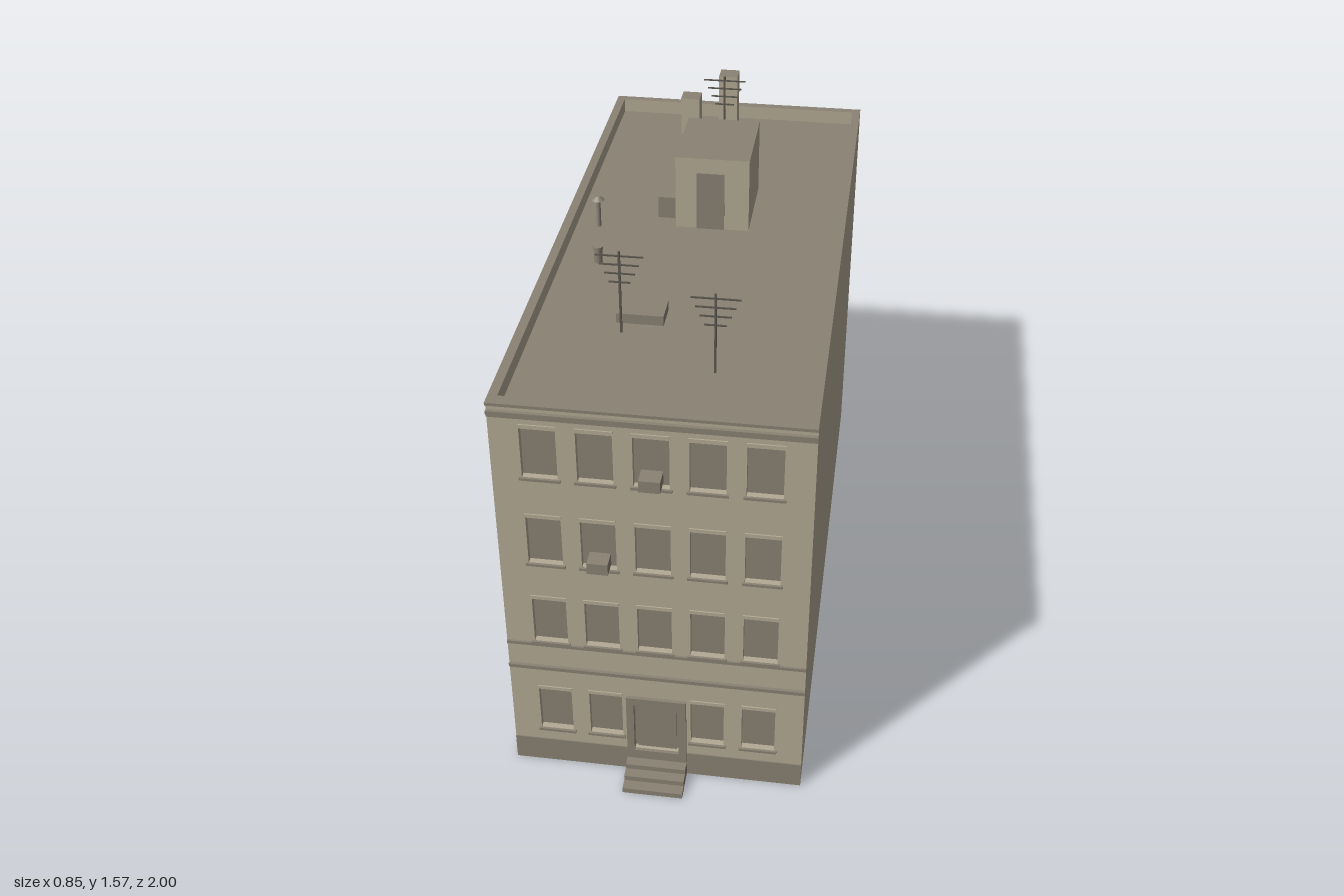
import * as THREE from 'three';

const mat = (name, color) => {
  const m = new THREE.MeshStandardMaterial({ color, side: THREE.DoubleSide });
  m.name = name;
  return m;
};

export function createModel() {
  const root = new THREE.Group();
  root.name = 'townBuilding';
  const wall = mat('wallStone', 0xb3aa94);
  const trim = mat('greyTrim', 0x8a8274);
  const metal = mat('antennaMetal', 0x5c5750);

  const W = 0.425, FRONT = 0.9, BACK = -0.99, ROOF = 1.255, TOP = 1.3;
  const DEPTH = FRONT - BACK, MID = (FRONT + BACK) / 2;

  const add = (name, geo, material, x = 0, y = 0, z = 0, parent = root) => {
    const m = new THREE.Mesh(geo, material);
    m.name = name;
    m.position.set(x, y, z);
    parent.add(m);
    return m;
  };
  // Box given by its limits on each axis
  const block = (name, material, x0, x1, y0, y1, z0, z1, parent) =>
    add(name, new THREE.BoxGeometry(x1 - x0, y1 - y0, z1 - z0), material,
      (x0 + x1) / 2, (y0 + y1) / 2, (z0 + z1) / 2, parent);
  const trace = (path, x0, x1, y0, y1) =>
    path.moveTo(x0, y0).lineTo(x1, y0).lineTo(x1, y1).lineTo(x0, y1).closePath();
  // Stone-sided box with a grey top
  const roofBlock = (name, ...b) => block(name, [wall, wall, trim, wall, wall, wall], ...b);

  // Openings in the front wall: [x, bottom, width, height, depth]
  const rows = [0.13, 0.478, 0.768, 1.062];
  const openings = [];
  rows.forEach((y, r) => {
    for (let c = -2; c <= 2; c++) {
      if (r === 0 && c === 0) continue;
      openings.push([c * 0.148, y, 0.096, 0.158, 0.02]);
    }
  });
  const door = [0, 0.085, 0.13, 0.185, 0.015];

  // Outer walls, open underneath
  const face = new THREE.Shape();
  trace(face, -W, W, 0, ROOF);
  for (const [x, y, w, h] of [...openings, door]) {
    const hole = new THREE.Path();
    trace(hole, x - w / 2, x + w / 2, y, y + h);
    face.holes.push(hole);
  }
  add('frontWall', new THREE.ShapeGeometry(face), wall, 0, 0, FRONT);
  add('backWall', new THREE.PlaneGeometry(2 * W, ROOF), wall, 0, ROOF / 2, BACK).rotation.y = Math.PI;
  for (const s of [-1, 1]) {
    add(s > 0 ? 'leftWall' : 'rightWall', new THREE.PlaneGeometry(DEPTH, ROOF), wall,
      s * W, ROOF / 2, MID).rotation.y = s * Math.PI / 2;
  }

  // Roof deck and parapet
  add('roofDeck', new THREE.PlaneGeometry(2 * W, DEPTH), trim, 0, ROOF, MID).rotation.x = -Math.PI / 2;
  const ring = new THREE.Shape(), inner = new THREE.Path(), t = 0.026;
  trace(ring, -W, W, -DEPTH / 2, DEPTH / 2);
  trace(inner, -W + t, W - t, -DEPTH / 2 + t, DEPTH / 2 - t);
  ring.holes.push(inner);
  add('parapet', new THREE.ExtrudeGeometry(ring, { depth: TOP - ROOF, bevelEnabled: false }),
    [trim, wall], 0, ROOF, MID).rotation.x = -Math.PI / 2;

  // Recess: a box without its front face, with a grey pane at the back
  const niche = (name, [x, y, w, h, d]) => {
    const g = new THREE.BoxGeometry(w, h, d);
    const idx = Array.from(g.index.array);
    g.setIndex([...idx.slice(0, 24), ...idx.slice(30)]);
    g.clearGroups();
    g.addGroup(0, 24, 0);
    g.addGroup(24, 6, 1);
    add(name, g, [wall, trim], x, y + h / 2, FRONT - d / 2);
  };
  for (const o of openings) {
    const [x, y, , h] = o;
    niche('frontWindow', o);
    block('frontSill', trim, x - 0.055, x + 0.055, y - 0.006, y + 0.002, FRONT, FRONT + 0.007);
    block('frontLintel', wall, x - 0.05, x + 0.05, y + h + 0.01, y + h + 0.015, FRONT, FRONT + 0.004);
  }

  // Back windows
  for (const y of [0.08, 0.48, 0.77, 1.062]) {
    for (const x of [-0.285, -0.095, 0.095, 0.285]) {
      block('backWindow', trim, x - 0.04, x + 0.04, y, y + 0.155, BACK - 0.002, BACK);
      block('backSill', trim, x - 0.047, x + 0.047, y - 0.006, y + 0.002, BACK - 0.01, BACK);
    }
  }

  // Plinth and horizontal bands on the front, split around the doorway
  for (const [a, b] of [[-W, -0.087], [0.087, W]]) block('plinth', trim, a, b, 0, 0.085, FRONT, FRONT + 0.003);
  block('plinthCentre', trim, -0.087, 0.087, 0, 0.085, FRONT, FRONT + 0.003);
  const bands = [[0.37, 0.376, 0.005], [0.376, 0.386, 0.009], [0.464, 0.474, 0.006],
    [1.254, 1.262, 0.006], [1.262, 1.274, 0.01], [1.291, 1.3, 0.01]];
  for (const [a, b, d] of bands) block('facadeBand', trim, -W, W, a, b, FRONT, FRONT + d);

  // Doorway with surround, panelled door and steps
  niche('doorRecess', door);
  const surround = new THREE.Shape(), gap = new THREE.Path();
  trace(surround, -0.087, 0.087, 0.052, 0.296);
  trace(gap, -0.065, 0.065, 0.085, 0.27);
  surround.holes.push(gap);
  add('doorSurround', new THREE.ExtrudeGeometry(surround, { depth: 0.01, bevelEnabled: false }), trim, 0, 0, FRONT);
  block('doorPanel', trim, -0.057, 0.057, 0.085, 0.264, FRONT - 0.015, FRONT - 0.01);
  [[0.017, 1.0], [0.034, 0.968], [0.051, 0.938]].forEach(([y, z], i) =>
    block('doorStep', trim, -0.088, 0.088, i * 0.017, y, FRONT, z));

  // Window cooling units
  block('coolingUnit', trim, -0.03, 0.028, 1.07, 1.106, FRONT - 0.02, 0.93);
  block('coolingUnit', trim, -0.177, -0.119, 0.774, 0.81, FRONT - 0.02, 0.93);

  // Stair house, its door and the roof boxes
  roofBlock('stairHouse', -0.095, 0.13, ROOF, 1.49, -0.437, -0.155);
  block('stairHouseDoor', trim, -0.03, 0.055, ROOF, 1.442, -0.155, -0.152);
  block('utilityBox', trim, -0.157, -0.095, ROOF, 1.325, -0.292, -0.207);
  block('roofHatch', trim, -0.176, -0.042, ROOF, 1.285, 0.33, 0.418);
  roofBlock('shortChimney', -0.175, -0.112, ROOF, 1.386, -0.866, -0.808);
  roofBlock('tallChimney', -0.047, 0.015, ROOF, 1.47, -0.874, -0.815);

  // Vent pipes
  const pipe = (name, x, z, r, y0, y1) =>
    add(name, new THREE.CylinderGeometry(r, r, y1 - y0, 12), trim, x, (y0 + y1) / 2, z);
  pipe('ventPipe', -0.33, -0.128, 0.007, ROOF, 1.345);
  add('ventCap', new THREE.CylinderGeometry(0.006, 0.02, 0.012, 12), trim, -0.33, 1.35, -0.128);
  pipe('ventStub', -0.29, 0.09, 0.013, ROOF, 1.3);
  pipe('ventStubCap', -0.29, 0.09, 0.016, 1.3, 1.308);

  // Antennas: a mast with crossbars narrowing downwards
  for (const [x, z, top] of [[-0.153, 0.465, 1.51], [0.13, 0.627, 1.498], [0, -0.585, 1.57]]) {
    const g = new THREE.Group();
    g.name = 'antenna';
    root.add(g);
    block('mast', metal, x - 0.003, x + 0.003, ROOF, top, z - 0.003, z + 0.003, g);
    for (let i = 0; i < 4; i++) {
      const y = top - 0.014 - i * 0.027, half = 0.066 - i * 0.012;
      block('crossbar', metal, x - half, x + half, y - 0.002, y + 0.002, z - 0.002, z + 0.002, g);
    }
  }
  return root;
}
